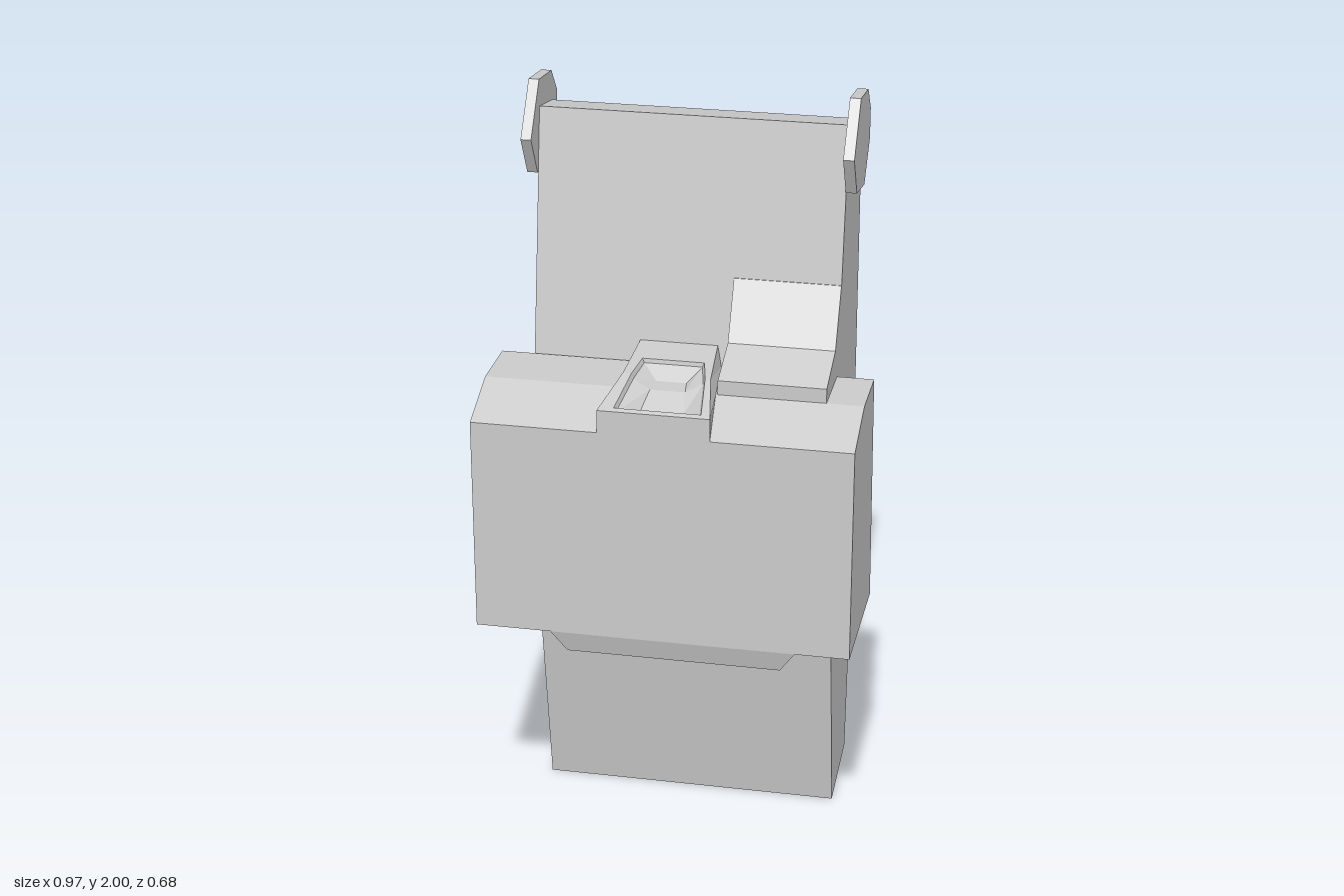
import * as THREE from 'three';

const grey = new THREE.MeshStandardMaterial({ color: 0xcccccc, flatShading: true });

// Extrudes a side profile of [z, y] points from x0 to x1.
function sidePart(name, points, x0, x1) {
  const shape = new THREE.Shape(points.map(([z, y]) => new THREE.Vector2(z, y)));
  const geo = new THREE.ExtrudeGeometry(shape, { depth: x1 - x0, bevelEnabled: false });
  geo.rotateY(-Math.PI / 2).translate(x1, 0, 0);
  const mesh = new THREE.Mesh(geo, grey);
  mesh.name = name;
  return mesh;
}

// Joins six-point rings (clockwise from above) and closes the last one with a floor.
function ringPart(name, rings) {
  const pos = [];
  const quad = (a, b, c, d) => [a, b, c, a, c, d].forEach((p) => pos.push(...p));
  for (let r = 0; r < rings.length - 1; r++) {
    const lo = rings[r], hi = rings[r + 1];
    for (let i = 0; i < 6; i++) {
      const j = (i + 1) % 6;
      quad(lo[i], hi[i], hi[j], lo[j]);
    }
  }
  const f = rings[rings.length - 1];
  quad(f[0], f[5], f[4], f[1]);
  quad(f[1], f[4], f[3], f[2]);
  const geo = new THREE.BufferGeometry();
  geo.setAttribute('position', new THREE.Float32BufferAttribute(pos, 3));
  geo.computeVertexNormals();
  const mesh = new THREE.Mesh(geo, grey);
  mesh.name = name;
  return mesh;
}

// Rows are [left x, right x, y, z] at the front, the crease and the back.
function ring(front, crease, back) {
  const rows = [front, crease, back];
  return [
    ...rows.map(([l, , y, z]) => [l, y, z]),
    ...rows.reverse().map(([, r, y, z]) => [r, y, z]),
  ];
}

export function createModel() {
  const model = new THREE.Group();
  model.name = 'model';

  // Tall back slab
  model.add(sidePart('body', [
    [-0.08, 0], [0.03, 0.67], [0.01, 1.28], [-0.1, 1.93], [-0.235, 1.905],
    [-0.335, 1.77], [-0.34, 0.34], [-0.31, 0.04],
  ], -0.4, 0.39));

  // Wide block on the front, with a sloping top edge and a leaning back
  model.add(sidePart('frontBlock', [
    [0.34, 0.67], [0.34, 1.24], [0.185, 1.3], [0.012, 1.3], [-0.03, 0.67],
  ], -0.485, 0.485));

  // Curved step between the block and the slab
  model.add(sidePart('step', [
    [0.185, 1.28], [0.185, 1.338], [0.05, 1.385], [-0.03, 1.53], [-0.06, 1.53], [-0.06, 1.28],
  ], 0.115, 0.39));

  // Raised platform with a shallow dished recess
  model.add(ringPart('platform', [
    ring([-0.16, 0.125, 1.24, 0.34], [-0.143, 0.11, 1.3, 0.185], [-0.125, 0.09, 1.3, 0]),
    ring([-0.16, 0.125, 1.3, 0.34], [-0.127, 0.097, 1.34, 0.185], [-0.122, 0.08, 1.355, 0]),
    ring([-0.12, 0.1, 1.304, 0.325], [-0.105, 0.083, 1.34, 0.185], [-0.095, 0.065, 1.347, 0.1]),
    ring([-0.115, 0.095, 1.292, 0.322], [-0.1, 0.078, 1.326, 0.185], [-0.09, 0.06, 1.336, 0.102]),
    ring([-0.065, 0.045, 1.276, 0.268], [-0.055, 0.035, 1.306, 0.2], [-0.05, 0.028, 1.308, 0.147]),
  ]));

  // Tapered lip under the block
  const lipGeo = new THREE.BoxGeometry(0.635, 0.06, 0.2);
  const p = lipGeo.attributes.position;
  for (let i = 0; i < p.count; i++) {
    if (p.getY(i) > 0) continue;
    p.setX(i, p.getX(i) - Math.sign(p.getX(i)) * 0.04);
    if (p.getZ(i) > 0) p.setZ(i, p.getZ(i) - 0.018);
  }
  lipGeo.computeVertexNormals();
  const lip = new THREE.Mesh(lipGeo, grey);
  lip.name = 'bottomLip';
  lip.position.set(0.0275, 0.64, 0.24);
  model.add(lip);

  // Seven-sided end discs at the top corners
  const disc = [
    [-0.005, 1.87], [-0.1, 2], [-0.23, 1.985], [-0.283, 1.92],
    [-0.283, 1.84], [-0.2, 1.743], [-0.065, 1.765],
  ];
  model.add(sidePart('rightDisc', disc, -0.427, -0.4));
  model.add(sidePart('leftDisc', disc, 0.39, 0.418));

  return model;
}
